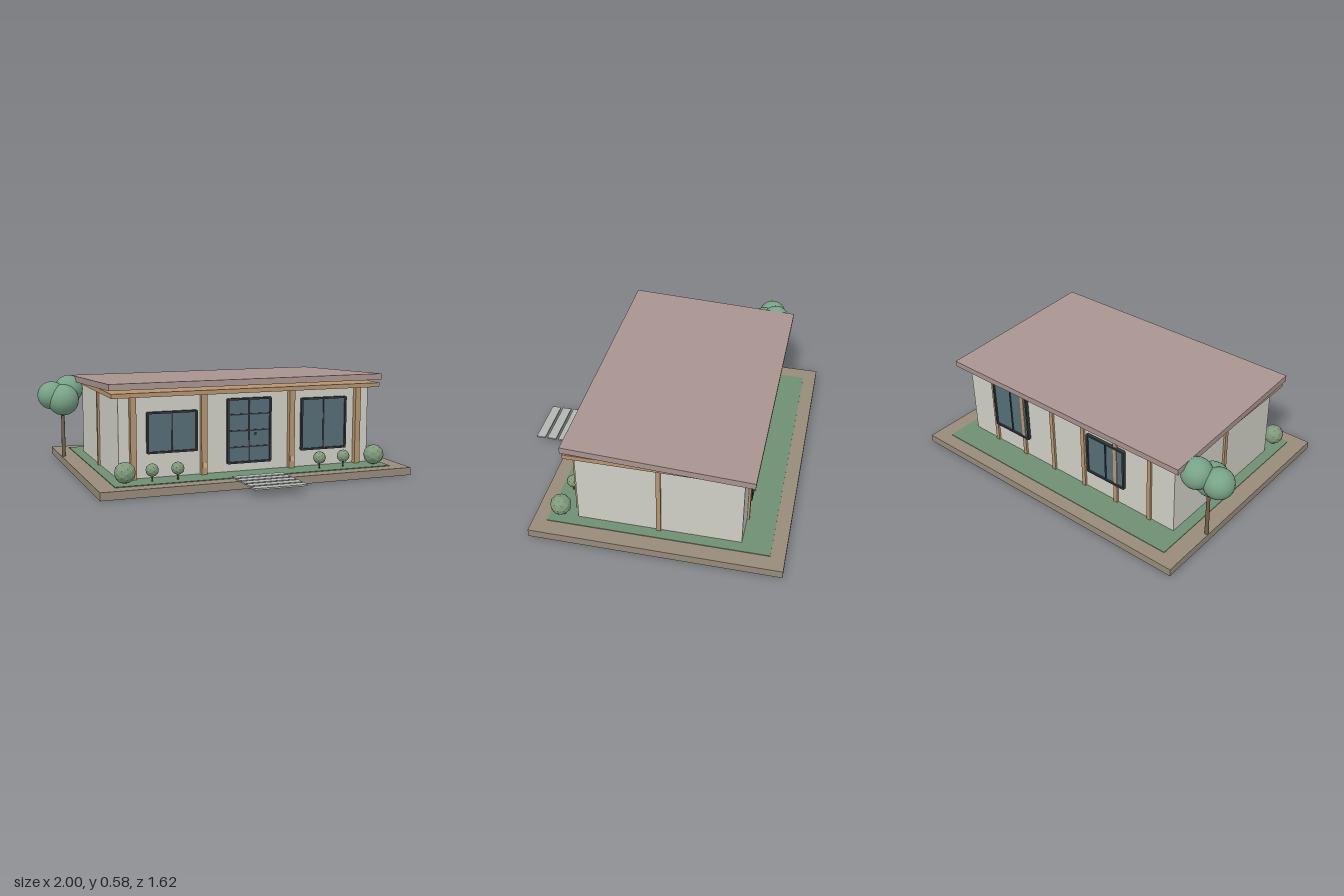
import * as THREE from 'three';

const mat = (color, flatShading = false) => new THREE.MeshStandardMaterial({ color, flatShading });

export function createModel() {
  const model = new THREE.Group();
  model.name = 'house';
  const earth = mat(0x978b7a), grass = mat(0x6f8f72), plaster = mat(0xd0cfc5), wood = mat(0xb59470);
  const roofing = mat(0xa8938f), glass = mat(0x566d76), frame = mat(0x33393c), stone = mat(0xb2b5b0);
  const lampGlow = mat(0xdcb07c), bark = mat(0x75604c), leaf = mat(0x78a387), bushLeaf = mat(0x7f9a7c, true);

  const add = (name, geometry, material, x, y, z, parent = model) => {
    const mesh = new THREE.Mesh(geometry, material);
    mesh.name = name;
    mesh.position.set(x, y, z);
    parent.add(mesh);
    return mesh;
  };
  // Box given by its limits along each axis
  const box = (name, material, x0, x1, y0, y1, z0, z1, parent = model) =>
    add(name, new THREE.BoxGeometry(x1 - x0, y1 - y0, z1 - z0), material,
      (x0 + x1) / 2, (y0 + y1) / 2, (z0 + z1) / 2, parent);

  // Plot and body
  box('groundSlab', earth, -0.865, 0.995, 0, 0.045, -0.815, 0.59);
  box('lawn', grass, -0.765, 0.9, 0.04, 0.049, -0.735, 0.51);
  box('walls', plaster, -0.703, 0.835, 0.045, 0.507, -0.572, 0.347);

  // Roof: flat timber plate under a sloping slab
  box('roofPlate', wood, -0.75, 0.885, 0.505, 0.53, -0.57, 0.395);
  const roof = add('roof', new THREE.BoxGeometry(1.66, 0.036, 1.036), roofing, 0.065, 0.5425, -0.115);
  roof.rotation.x = -0.047;

  // Timber posts
  for (const x of [-0.625, -0.215, 0.325, 0.755])
    box('frontPost', wood, x - 0.017, x + 0.017, 0.045, 0.507, 0.344, 0.378);
  for (let i = 0; i < 6; i++) {
    const x = 0.64 - i * 0.236;
    box('backPost', wood, x - 0.012, x + 0.012, 0.045, 0.507, -0.585, -0.56);
  }
  for (const x of [-0.705, 0.837])
    box('sidePost', wood, x - 0.01, x + 0.01, 0.045, 0.507, -0.125, -0.1);

  // Framed glazing with evenly spaced bars, facing +z (dir 1) or -z (dir -1)
  const glazing = (name, x0, x1, y0, y1, z, dir, columns, rows) => {
    const group = new THREE.Group();
    group.name = name;
    group.position.set((x0 + x1) / 2, (y0 + y1) / 2, z);
    if (dir < 0) group.rotation.y = Math.PI;
    model.add(group);
    const w = (x1 - x0) / 2, h = (y1 - y0) / 2, t = 0.011, r = 0.008;
    const rounded = (path, a, b, c) => {
      path.moveTo(-a + c, -b);
      path.lineTo(a - c, -b).quadraticCurveTo(a, -b, a, -b + c);
      path.lineTo(a, b - c).quadraticCurveTo(a, b, a - c, b);
      path.lineTo(-a + c, b).quadraticCurveTo(-a, b, -a, b - c);
      path.lineTo(-a, -b + c).quadraticCurveTo(-a, -b, -a + c, -b);
      return path;
    };
    const outline = rounded(new THREE.Shape(), w, h, r);
    outline.holes.push(rounded(new THREE.Path(), w - t, h - t, 0.003));
    add('frame', new THREE.ExtrudeGeometry(outline, { depth: 0.02, bevelEnabled: false, curveSegments: 4 }),
      frame, 0, 0, 0, group);
    box('glass', glass, -w + t, w - t, -h + t, h - t, 0, 0.01, group);
    for (let i = 1; i < columns; i++) {
      const x = -w + 2 * w * i / columns;
      box('verticalBar', frame, x - 0.004, x + 0.004, -h + t, h - t, 0, 0.015, group);
    }
    for (let i = 1; i < rows; i++) {
      const y = -h + 2 * h * i / rows;
      box('horizontalBar', frame, -w + t, w - t, y - 0.004, y + 0.004, 0, 0.015, group);
    }
  };
  glazing('frontWindowRight', -0.545, -0.25, 0.185, 0.418, 0.345, 1, 2, 1);
  glazing('frontWindowLeft', 0.39, 0.685, 0.145, 0.455, 0.345, 1, 2, 1);
  glazing('frontDoor', -0.072, 0.2, 0.095, 0.472, 0.345, 1, 2, 4);
  glazing('backWindowLeft', 0.36, 0.635, 0.17, 0.485, -0.571, -1, 2, 1);
  glazing('backWindowRight', -0.37, -0.1, 0.17, 0.43, -0.571, -1, 2, 1);
  add('doorKnob', new THREE.SphereGeometry(0.007, 10, 8), frame, 0.097, 0.265, 0.372);

  // Lamps on the posts beside the door
  for (const x of [-0.215, 0.325])
    box('postLamp', lampGlow, x - 0.012, x + 0.012, 0.09, 0.12, 0.37, 0.384);

  // Paving slabs leading to the door
  for (let i = 0; i < 5; i++) {
    const z = 0.48 + i * 0.069;
    box('pavingSlab', stone, -0.09, 0.22, 0.043, 0.052, z, z + 0.054);
  }

  // Shrubs along the front
  for (const x of [-0.695, 0.825])
    add('largeShrub', new THREE.IcosahedronGeometry(0.06, 1), bushLeaf, x, 0.11, 0.45);
  for (const x of [-0.54, -0.393, 0.473, 0.628]) {
    add('smallShrub', new THREE.IcosahedronGeometry(0.037, 1), bushLeaf, x, 0.112, 0.44);
    add('shrubStem', new THREE.CylinderGeometry(0.004, 0.005, 0.05, 6), bark, x, 0.07, 0.44);
  }

  // Tree by the back right corner
  add('treeTrunk', new THREE.CylinderGeometry(0.01, 0.012, 0.335, 10), bark, -0.85, 0.2125, -0.47);
  for (const [x, y, z, r] of [[-0.915, 0.43, -0.48, 0.086], [-0.85, 0.403, -0.445, 0.096], [-0.8, 0.462, -0.515, 0.087]])
    add('treeFoliage', new THREE.SphereGeometry(r, 24, 16), leaf, x, y, z);

  return model;
}
